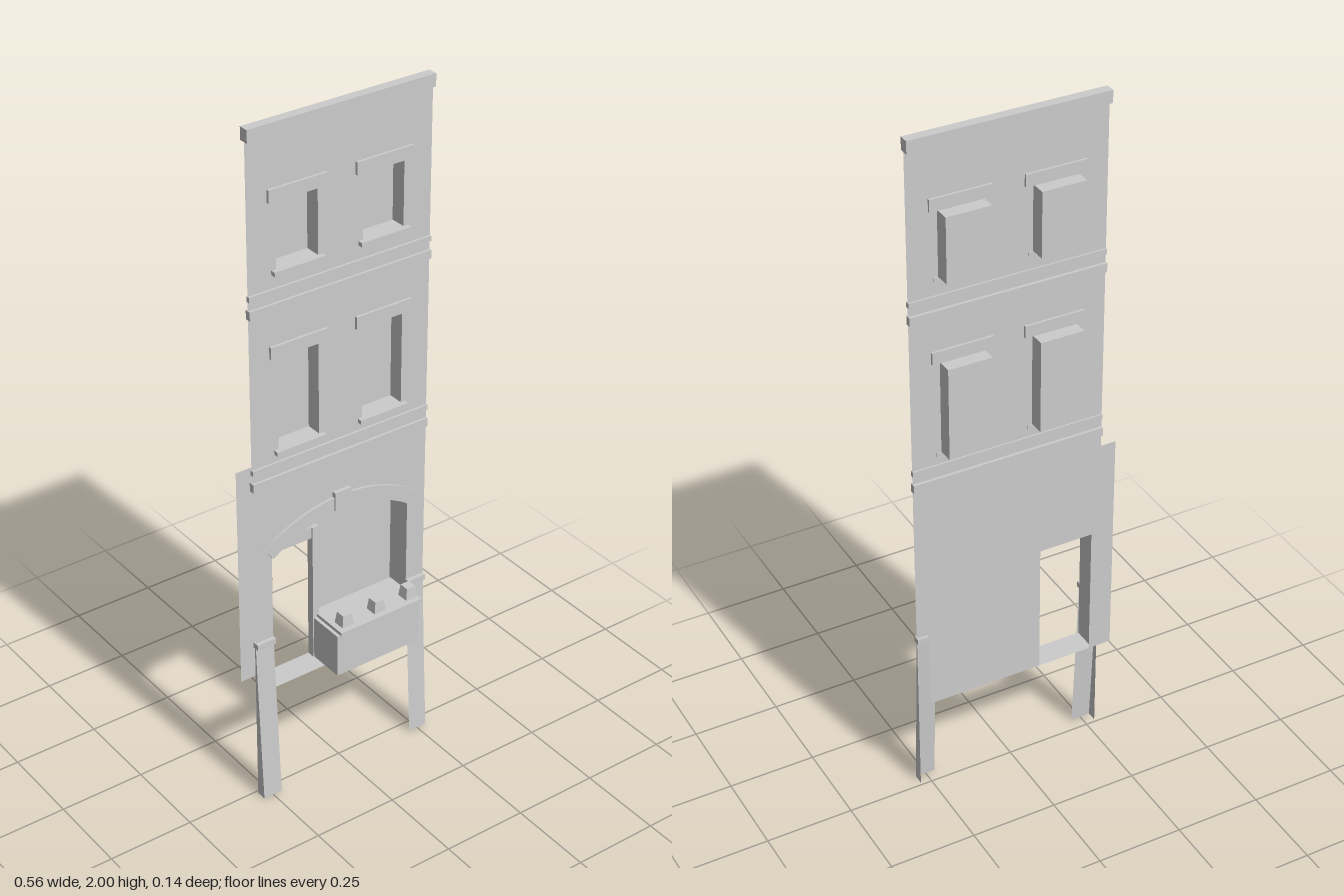
import * as THREE from 'three';

const material = new THREE.MeshStandardMaterial({ color: 0xcccccc });
const thin = new THREE.MeshStandardMaterial({ color: 0xcccccc, side: THREE.DoubleSide });
const WALL_Z = 0.01, BACK_Z = -0.063, HALF = 0.28, INNER = 0.222, FLOOR = 0.34;
const ARCH = { y: 0.46, inner: 0.377, outer: 0.42, half: 0.63 };

export function createModel() {
  const model = new THREE.Group();

  const add = (name, geometry, mat = material) => {
    const mesh = new THREE.Mesh(geometry, mat);
    mesh.name = name;
    model.add(mesh);
    return mesh;
  };
  // Box given by its limits on each axis
  const box = (name, x0, x1, y0, y1, z0, z1) =>
    add(name, new THREE.BoxGeometry(x1 - x0, y1 - y0, z1 - z0))
      .position.set((x0 + x1) / 2, (y0 + y1) / 2, (z0 + z1) / 2);
  const rectHole = (x0, x1, y0, y1) => new THREE.Path([
    [x0, y0], [x0, y1], [x1, y1], [x1, y0]].map(p => new THREE.Vector2(...p)));
  // Points along the arch, from right to left
  const arc = (r, n = 16) => Array.from({ length: n + 1 }, (_, i) => {
    const a = ARCH.half * (1 - 2 * i / n);
    return new THREE.Vector2(r * Math.sin(a), ARCH.y + r * Math.cos(a));
  });
  // Open sheet swept between two rows of equal length
  const sheet = (name, rowA, rowB) => {
    const pos = [], index = [];
    rowA.forEach((p, i) => {
      pos.push(...p, ...rowB[i]);
      if (i) { const k = 2 * i; index.push(k - 2, k - 1, k, k - 1, k + 1, k); }
    });
    const g = new THREE.BufferGeometry();
    g.setAttribute('position', new THREE.Float32BufferAttribute(pos, 3));
    g.setIndex(index);
    g.computeVertexNormals();
    return add(name, g, thin);
  };

  // Facade sheet with arched shopfront and window openings
  const facade = new THREE.Shape([
    new THREE.Vector2(-HALF, 0.49), new THREE.Vector2(-HALF, 1.99),
    new THREE.Vector2(HALF, 1.99), new THREE.Vector2(HALF, 0.49),
    new THREE.Vector2(INNER, 0.49), ...arc(ARCH.inner), new THREE.Vector2(-INNER, 0.49)]);
  const floors = [{ y0: 1.09, y1: 1.36 }, { y0: 1.605, y1: 1.79 }];
  for (const { y0, y1 } of floors) {
    for (const s of [-1, 1]) {
      const x = s * 0.132;
      facade.holes.push(rectHole(x - 0.063, x + 0.063, y0, y1));
      // Window recess: box without its front
      const g = new THREE.BoxGeometry(0.126, y1 - y0, 0.045);
      const idx = Array.from(g.index.array);
      idx.splice(24, 6);
      g.setIndex(idx);
      g.clearGroups();
      add('windowRecess', g, thin).position.set(x, (y0 + y1) / 2, WALL_Z - 0.0225);
      box('windowLintel', x - 0.087, x + 0.087, y1, y1 + 0.035, 0.003, 0.018);
      box('windowSill', x - 0.077, x + 0.077, y0 - 0.012, y0, 0.008, 0.025);
    }
  }
  add('facadeWall', new THREE.ShapeGeometry(facade), thin).position.z = WALL_Z;

  // Cornice and string courses
  box('cornice', -HALF, HALF, 1.965, 2, -0.006, 0.022);
  for (const y of [0.99, 1.49]) {
    box('lowerMoulding', -HALF, HALF, y, y + 0.025, 0.001, 0.018);
    box('upperMoulding', -HALF, HALF, y + 0.05, y + 0.065, 0.005, 0.017);
  }

  // Arch moulding with keystone, and the soffit running back
  const ring = new THREE.Shape([...arc(ARCH.outer), ...arc(ARCH.inner).reverse()]);
  add('archMoulding', new THREE.ExtrudeGeometry(ring, { depth: 0.038, bevelEnabled: false }))
    .position.z = -0.02;
  box('keystone', -0.026, 0.026, 0.84, 0.895, -0.02, 0.022);
  const soffit = arc(ARCH.inner);
  sheet('archSoffit', soffit.map(p => [p.x, p.y, WALL_Z]), soffit.map(p => [p.x, p.y, BACK_Z]));

  // Shop back wall with doorway
  const back = new THREE.Shape([
    [-HALF, FLOOR], [-0.213, FLOOR], [-0.213, 0.73], [-0.056, 0.73],
    [-0.056, FLOOR], [HALF, FLOOR], [HALF, 1.01], [-HALF, 1.01],
  ].map(p => new THREE.Vector2(...p)));
  add('shopBackWall', new THREE.ShapeGeometry(back), thin).position.z = BACK_Z;
  box('doorPost', -0.056, -0.036, FLOOR, 0.765, BACK_Z, -0.04);
  box('doorHeader', -INNER, -0.056, 0.73, 0.765, BACK_Z, -0.045);
  sheet('shopFloor', [[-INNER, FLOOR, WALL_Z], [INNER, FLOOR, WALL_Z]],
    [[-INNER, FLOOR, BACK_Z], [INNER, FLOOR, BACK_Z]]);

  // Pilasters: shop side wall, capital, and flared foot open at the back
  const foot = [[0.5, 0.012], [0.37, 0.018], [0, 0.038]];
  for (const s of [-1, 1]) {
    sheet('shopSideWall', [[s * INNER, FLOOR, WALL_Z], [s * INNER, 0.768, WALL_Z]],
      [[s * INNER, FLOOR, BACK_Z], [s * INNER, 0.768, BACK_Z]]);
    const lo = Math.min(s * HALF, s * INNER), hi = Math.max(s * HALF, s * INNER);
    box('pilasterCapital', lo, hi, 0.495, 0.512, 0.002, 0.022);
    sheet('pilasterFront', foot.map(([y, z]) => [lo, y, z]), foot.map(([y, z]) => [hi, y, z]));
    sheet('pilasterSide', foot.map(([y, z]) => [s * HALF, y, z]),
      foot.map(([y]) => [s * HALF, y, 0.008]));
  }

  // Counter with three tapered blocks on top
  box('counterBody', -0.053, INNER, FLOOR, 0.47, BACK_Z + 0.003, 0.068);
  box('counterTop', -0.043, 0.228, 0.47, 0.48, BACK_Z + 0.003, 0.073);
  for (const x of [-0.008, 0.1, 0.208]) {
    const g = new THREE.BoxGeometry(0.038, 0.035, 0.036);
    const p = g.attributes.position;
    for (let i = 0; i < p.count; i++)
      if (p.getY(i) > 0) { p.setX(i, p.getX(i) * 0.75); p.setZ(i, p.getZ(i) * 0.8); }
    g.computeVertexNormals();
    add('counterBlock', g).position.set(x, 0.4975, 0.038);
  }
  return model;
}
